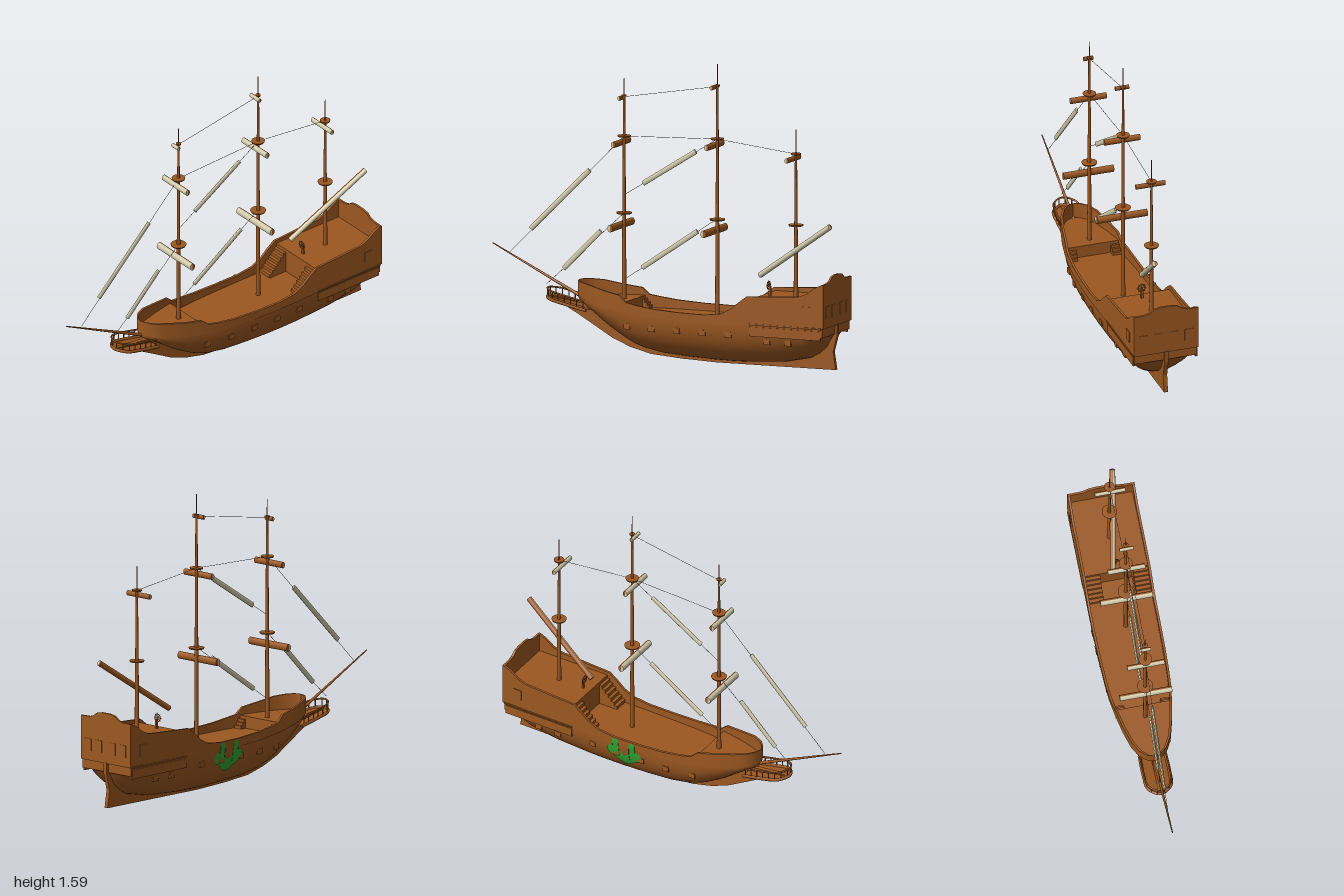
import * as THREE from 'three';
import { toCreasedNormals } from 'three/addons/utils/BufferGeometryUtils.js';

const mat = (name, color) => Object.assign(new THREE.MeshStandardMaterial({ color, side: THREE.DoubleSide }), { name });
const V = (x, y, z = 0) => new THREE.Vector3(x, y, z);

// hull stations: x, rail height, hull bottom, half width, wale height
const STATIONS = [
  [-0.5, 0.39, 0.3, 0, 0.315], [-0.49, 0.39, 0.285, 0.035, 0.312], [-0.46, 0.387, 0.265, 0.068, 0.305],
  [-0.4, 0.38, 0.225, 0.1, 0.29], [-0.3, 0.36, 0.15, 0.127, 0.272], [-0.2, 0.345, 0.09, 0.147, 0.26],
  [-0.16, 0.31, 0.07, 0.153, 0.256], [-0.1, 0.3, 0.05, 0.162, 0.25], [0, 0.288, 0.032, 0.169, 0.242],
  [0.15, 0.28, 0.022, 0.174, 0.236], [0.3, 0.278, 0.016, 0.176, 0.234], [0.4, 0.29, 0.015, 0.176, 0.235],
  [0.46, 0.32, 0.016, 0.176, 0.237], [0.5, 0.355, 0.017, 0.176, 0.238], [0.55, 0.392, 0.02, 0.176, 0.24],
  [0.7, 0.4, 0.03, 0.176, 0.244], [0.85, 0.41, 0.062, 0.176, 0.248], [0.9, 0.43, 0.09, 0.175, 0.25],
  [0.94, 0.46, 0.125, 0.175, 0.25], [0.97, 0.475, 0.18, 0.175, 0.25], [0.985, 0.48, 0.2, 0.175, 0.25],
];
const MAIN = 0.24, FORE = 0.305, AFT = 0.375;

function sample(x) {
  let i = 0;
  while (i < STATIONS.length - 2 && STATIONS[i + 1][0] < x) i++;
  const a = STATIONS[i], b = STATIONS[i + 1], t = (x - a[0]) / (b[0] - a[0]);
  const [, top, bottom, w, wale] = a.map((v, k) => v + (b[k] - v) * t);
  return { top, bottom, w, wale };
}

// half width of the hull side at a point
function sideZ(x, y) {
  const s = sample(x);
  if (y >= s.wale) return s.w + 0.005;
  const t = Math.min(1, (s.wale - y) / (s.wale - s.bottom));
  return s.w * Math.sqrt(1 - t * t);
}

// joins rows of points into one surface
function loft(rows) {
  const n = rows[0].length, index = [];
  for (let i = 0; i < rows.length - 1; i++) for (let j = 0; j < n - 1; j++) {
    const a = i * n + j, b = a + n;
    index.push(a, a + 1, b, b, a + 1, b + 1);
  }
  const g = new THREE.BufferGeometry();
  g.setAttribute('position', new THREE.Float32BufferAttribute(rows.flat().flatMap(p => [p.x, p.y, p.z]), 3));
  g.setIndex(index);
  return toCreasedNormals(g, 0.6);
}

// full section: deck, bulwark, side, round bottom and back up
function section(x, deck) {
  const { top, bottom, w, wale } = sample(x);
  const out = w + Math.min(0.005, w * 0.1), inn = Math.max(0, w - 0.008), half = [];
  for (let i = 0; i <= 12; i++) {
    const a = i / 12 * Math.PI / 2;
    half.push(V(x, wale - (wale - bottom) * Math.cos(a), w * Math.sin(a)));
  }
  half.push(V(x, wale, out), V(x, top, out), V(x, top, inn), V(x, deck, inn), V(x, deck, 0));
  return [...half.slice(1).reverse().map(p => V(p.x, p.y, -p.z)), ...half];
}

export function createModel() {
  const ship = new THREE.Group();
  ship.name = 'sailingShip';
  const wood = mat('brownWood', 0x9c5821), sail = mat('furledSail', 0xd0c9aa);
  const green = mat('greenPaint', 0x33a532), rope = mat('rope', 0x6b6555);

  const add = (name, geo, m = wood, x = 0, y = 0, z = 0) => {
    const mesh = new THREE.Mesh(geo, m);
    mesh.name = name;
    mesh.position.set(x, y, z);
    ship.add(mesh);
    return mesh;
  };
  const box = (name, w, h, d, x, y, z) => add(name, new THREE.BoxGeometry(w, h, d), wood, x, y, z);
  const rod = (name, a, b, r0, r1, m = wood, sides = 10, start = 0, arc = Math.PI * 2) => {
    const d = b.clone().sub(a);
    const mesh = add(name, new THREE.CylinderGeometry(r1, r0, d.length(), sides, 1, false, start, arc), m);
    mesh.position.copy(a).add(b).multiplyScalar(0.5);
    mesh.quaternion.setFromUnitVectors(V(0, 1, 0), d.normalize());
    return mesh;
  };
  const plate = (name, pts, depth) => {
    const g = new THREE.ExtrudeGeometry(new THREE.Shape(pts.map(p => new THREE.Vector2(...p))), { depth, bevelEnabled: false });
    return add(name, g.translate(0, 0, -depth / 2));
  };

  // hull with its three deck levels
  const rows = [];
  const xs = [...STATIONS.map(s => s[0]), -0.18, 0.56].sort((a, b) => a - b);
  for (const x of xs) {
    if (x <= -0.18) rows.push(section(x, FORE));
    if (x >= -0.18 && x <= 0.56) rows.push(section(x, MAIN));
    if (x >= 0.56) rows.push(section(x, AFT));
  }
  add('hull', loft(rows));

  // keel, stem and rudder
  plate('keel', [[-0.66, 0.29], [-0.5, 0.205], [-0.3, 0.09], [-0.2, 0.05], [-0.08, 0.02], [0.1, 0.007], [0.3, 0],
    [0.99, 0.005], [0.975, 0.1], [0.998, 0.19], [0.998, 0.25], [0.95, 0.25], [0.92, 0.13], [0.8, 0.07], [0.3, 0.03],
    [-0.1, 0.07], [-0.3, 0.17], [-0.42, 0.26], [-0.55, 0.275]], 0.022);

  // stern castle
  const transom = plate('transom', [[-0.18, 0.245], [0.18, 0.245], [0.18, 0.48], [0.12, 0.482], [0.09, 0.49], [0.065, 0.508],
    [0.03, 0.515], [-0.03, 0.515], [-0.065, 0.508], [-0.09, 0.49], [-0.12, 0.482], [-0.18, 0.48]], 0.012);
  transom.rotation.y = Math.PI / 2;
  transom.position.x = 0.988;
  box('sternCounter', 0.06, 0.05, 0.35, 0.955, 0.222, 0);
  for (const s of [-1, 1]) {
    box('castleSkirt', 0.41, 0.05, 0.012, 0.77, 0.207, s * 0.173);
    box('castleLedge', 0.42, 0.008, 0.012, 0.772, 0.245, s * 0.178);
    for (const z of [0.05, 0.125]) box('sternShutter', 0.006, 0.065, 0.045, 0.994, 0.33, s * z);
    box('sideShutter', 0.05, 0.06, 0.006, 0.9, 0.33, s * 0.181);

    // gun port lids
    for (const x of [-0.16, -0.01, 0.14, 0.29, 0.44, 0.66, 0.78]) {
      const y = x > 0.5 ? 0.155 : 0.18;
      box('gunPortLid', 0.036, 0.03, 0.01, x, y, s * (sideZ(x, y) + 0.001));
    }

    // stairs to the aft deck and the foredeck
    for (let i = 0; i < 6; i++) {
      const h = (AFT - MAIN) * (i + 1) / 7;
      box('aftStair', 0.019, h, 0.08, 0.46 + i * 0.0185, MAIN + h / 2, s * 0.128);
    }
    for (let i = 0; i < 3; i++) {
      const h = (FORE - MAIN) * (i + 1) / 4;
      box('foreStair', 0.013, h, 0.045, -0.148 - i * 0.012, MAIN + h / 2, s * 0.12);
    }
  }

  // steering wheel
  box('wheelPost', 0.01, 0.05, 0.012, 0.605, AFT + 0.025, 0);
  add('steeringWheel', new THREE.TorusGeometry(0.02, 0.003, 6, 16).rotateY(Math.PI / 2), wood, 0.597, 0.43);
  for (let i = 0; i < 4; i++) {
    const a = i * Math.PI / 4, y = 0.027 * Math.cos(a), z = 0.027 * Math.sin(a);
    rod('wheelSpoke', V(0.597, 0.43 - y, -z), V(0.597, 0.43 + y, z), 0.0015, 0.0015, wood, 5);
  }

  // beakhead platform with its curved railing
  const railY = x => 0.285 + (-0.45 - x) * 0.22;
  const plan = new THREE.CatmullRomCurve3([[-0.43, 0.068], [-0.55, 0.07], [-0.64, 0.06], [-0.68, 0], [-0.64, -0.06],
    [-0.55, -0.07], [-0.43, -0.068]].map(([x, z]) => V(x, 0, z)));
  const outline = plan.getSpacedPoints(32);
  const lifted = drop => new THREE.CatmullRomCurve3(outline.map(p => V(p.x, railY(p.x) - drop, p.z)));
  add('beakRail', new THREE.TubeGeometry(lifted(0), 48, 0.005, 6));
  add('beakEdge', new THREE.TubeGeometry(lifted(0.045), 48, 0.009, 6));
  add('beakFloor', loft(outline.slice(0, 17).map((p, i) => [p, outline[32 - i]].map(q => V(q.x, railY(q.x) - 0.045, q.z)))));
  for (let i = 1; i < 32; i += 2) {
    const p = outline[i], y = railY(p.x);
    rod('beakPost', V(p.x, y - 0.045, p.z), V(p.x, y, p.z), 0.003, 0.003, wood, 6);
  }
  rod('bowsprit', V(-0.42, 0.265), V(-1, 0.55), 0.01, 0.003);

  // masts: x, foot, shoulder, tip, platforms [y, radius], yards [y, half length, radius]
  const masts = [
    ['fore', -0.24, FORE, 1.38, 1.48, [[0.76, 0.042], [1.17, 0.036], [1.385, 0.014]], [[0.695, 0.14, 0.02], [1.135, 0.1, 0.017], [1.372, 0.026, 0.012]]],
    ['main', 0.3, MAIN, 1.47, 1.59, [[0.76, 0.042], [1.19, 0.036], [1.475, 0.014]], [[0.7, 0.14, 0.02], [1.155, 0.1, 0.017], [1.465, 0.038, 0.012]]],
    ['mizzen', 0.755, AFT, 1.15, 1.27, [[0.76, 0.04], [1.14, 0.028]], [[1.113, 0.082, 0.014]]],
  ];
  for (const [name, x, foot, shoulder, tip, tops, yards] of masts) {
    rod(name + 'Mast', V(x, foot), V(x, shoulder), 0.0125, 0.006);
    rod(name + 'Topmast', V(x, shoulder), V(x, tip), 0.003, 0.002, wood, 6);
    for (const [y, r] of tops) add(name + 'Platform', new THREE.CylinderGeometry(r, r * 0.92, 0.008, 20), wood, x, y);
    // yard behind, furled sail ahead
    for (const [y, half, r] of yards) {
      const g = (start) => new THREE.CylinderGeometry(r, r, half * 2, 10, 1, false, start, Math.PI).rotateX(Math.PI / 2);
      add(name + 'Yard', g(0), wood, x - 0.018, y).scale.x = 0.8;
      add(name + 'FurledSail', g(Math.PI), sail, x - 0.018, y).scale.x = 0.8;
    }
  }

  // furled staysails on their ropes
  const stays = [
    [-0.78, 0.64, -0.44, 0.975, -0.9, 0.51, -0.24, 1.17], [-0.59, 0.44, -0.375, 0.655, -0.69, 0.35, -0.24, 0.76],
    [-0.13, 0.925, 0.175, 1.115, -0.24, 0.856, 0.3, 1.19], [-0.135, 0.475, 0.185, 0.69, -0.24, 0.404, 0.3, 0.765],
  ];
  for (const [x0, y0, x1, y1, a, b, c, d] of stays) {
    rod('furledStaysail', V(x0, y0), V(x1, y1), 0.014, 0.014, sail).scale.z = 0.5;
    rod('stayRope', V(a, b), V(c, d), 0.0012, 0.0012, rope, 5);
  }
  for (const [a, b, c, d] of [[-0.24, 1.38, 0.3, 1.47], [-0.24, 1.17, 0.3, 1.19], [0.3, 1.19, 0.755, 1.14]])
    rod('topRope', V(a, b), V(c, d), 0.0012, 0.0012, rope, 5);

  // slanting mizzen yard with its furled sail
  const low = V(0.535, 0.475, -0.025), high = V(0.98, 0.775, 0.06);
  rod('lateenYard', low, high, 0.015, 0.015, wood, 8, Math.PI / 2, Math.PI);
  rod('lateenFurledSail', low, high, 0.015, 0.015, sail, 8, -Math.PI / 2, Math.PI);

  // painted green crest on the far side: x offset, lower and upper edge
  const crest = [[-0.105, 0.19, 0.2], [-0.095, 0.165, 0.218], [-0.07, 0.155, 0.225], [-0.068, 0.152, 0.27], [-0.05, 0.14, 0.278],
    [-0.032, 0.125, 0.27], [-0.03, 0.122, 0.2], [0, 0.11, 0.18], [0.03, 0.122, 0.2], [0.032, 0.125, 0.27], [0.05, 0.14, 0.278],
    [0.068, 0.152, 0.27], [0.07, 0.155, 0.225], [0.095, 0.165, 0.218], [0.105, 0.19, 0.2]];
  add('paintedCrest', loft(crest.map(([dx, lo, hi]) => Array.from({ length: 9 }, (_, i) => {
    const x = 0.24 + dx, y = lo + (hi - lo) * i / 8;
    return V(x, y, -sideZ(x, y) - 0.005);
  }))), green);

  return ship;
}
